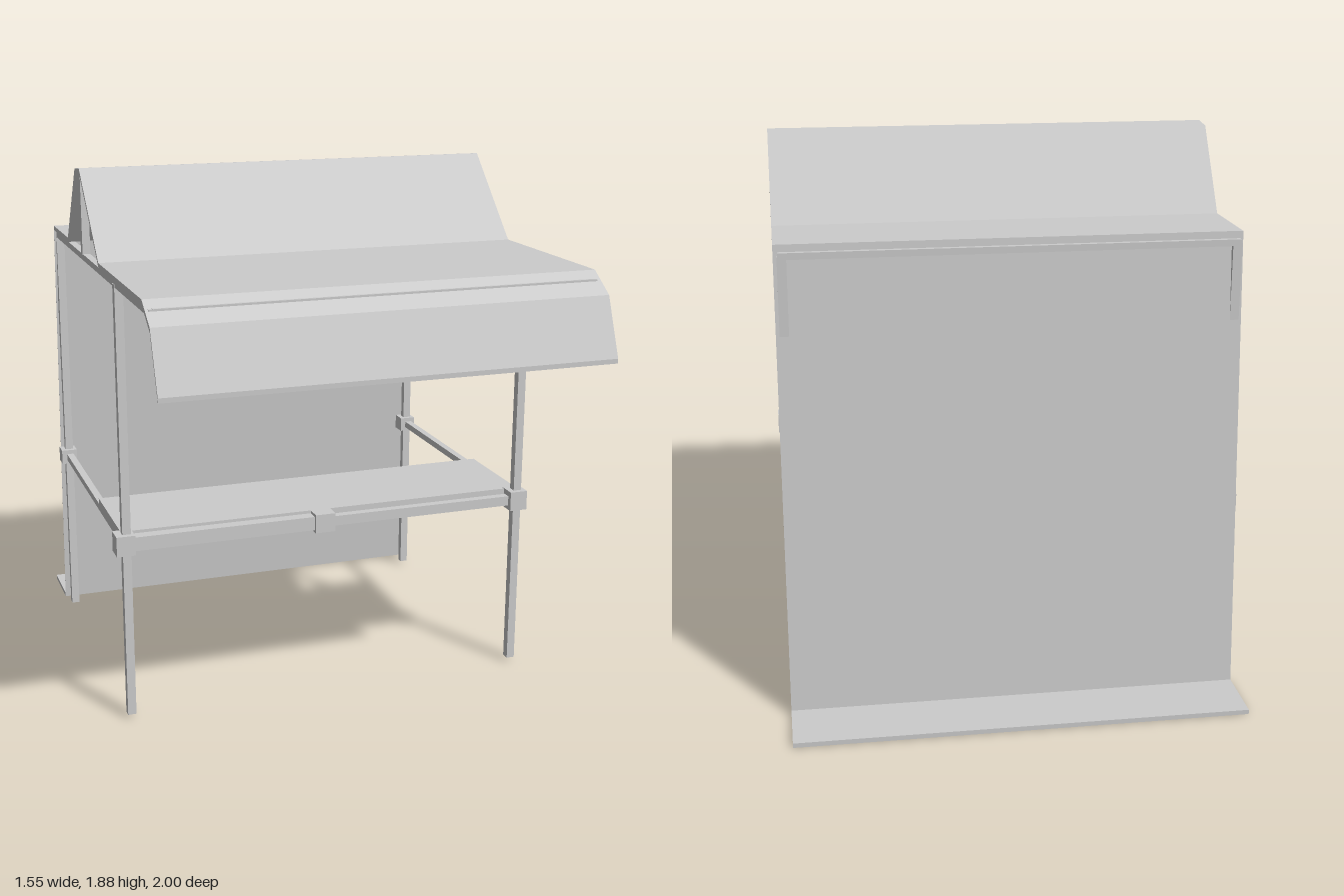
import * as THREE from 'three';

const material = new THREE.MeshStandardMaterial({ color: 0xcccccc, side: THREE.DoubleSide, flatShading: true });

export function createModel() {
  const group = new THREE.Group();
  group.name = 'marketStall';

  // Box given by its lower and upper bounds on each axis
  function box(name, [x0, x1], [y0, y1], [z0, z1]) {
    const mesh = new THREE.Mesh(new THREE.BoxGeometry(x1 - x0, y1 - y0, z1 - z0), material);
    mesh.position.set((x0 + x1) / 2, (y0 + y1) / 2, (z0 + z1) / 2);
    mesh.name = name;
    group.add(mesh);
  }
  const around = (c, size) => [c - size / 2, c + size / 2];

  const left = 0.745, right = -0.735;
  const frontZ = 0.375, backZ = -0.687;

  // Side frames: posts, roof rail, ridge support, shelf rail and joints
  for (const [side, x] of [['left', left], ['right', right]]) {
    box(side + 'FrontPost', around(x, 0.03), [0.015, 1.56], around(frontZ, 0.03));
    box(side + 'BackPost', around(x, 0.03), [0.015, 1.56], around(backZ, 0.026));
    box(side + 'RoofRail', around(x, 0.026), [1.55, 1.572], [-0.7, 0.865]);
    box(side + 'RidgeSupport', around(x, 0.028), [1.57, 1.866], around(-0.16, 0.03));
    box(side + 'ShelfRail', around(x, 0.026), [0.645, 0.67], [backZ, frontZ]);
    box(side + 'FrontJoint', around(x > 0 ? 0.742 : -0.742, 0.066), [0.62, 0.692], around(frontZ, 0.07));
    box(side + 'BackJoint', around(x > 0 ? 0.742 : -0.738, 0.06), [0.63, 0.686], around(backZ, 0.06));
  }

  // Cross bars carrying the canopy
  box('frontRoofBar', [right, left], [1.55, 1.573], [0.842, 0.865]);
  box('backRoofBar', [right, left], [1.55, 1.572], [-0.7, -0.675]);

  // Telescopic front bar with its sleeve joint
  box('frontBarOuter', [right, -0.02], [0.63, 0.68], around(frontZ, 0.042));
  box('frontBarInner', [-0.02, left], [0.636, 0.672], around(frontZ, 0.03));
  box('frontBarJoint', around(-0.018, 0.074), [0.622, 0.69], around(frontZ, 0.066));

  // Counter top over the front part of the shelf rails
  box('counterTop', [-0.748, 0.758], [0.652, 0.69], [-0.02, 0.352]);

  // Canopy cloth: one profile of (z, y) from front flap over the ridge to the ground
  const profile = [
    [1.0, 1.335], [0.92, 1.53], [0.82, 1.596], [0.18, 1.596], [-0.11, 1.882],
    [-0.19, 1.873], [-0.38, 1.596], [-0.68, 1.596], [-0.787, 0.016], [-1.0, 0.016],
  ];
  const drop = 0.016;
  const under = profile.map(([z, y]) => [z, y - drop]).reverse();
  const outline = new THREE.Shape([...profile, ...under].map(([z, y]) => new THREE.Vector2(z, y)));
  const cloth = new THREE.ExtrudeGeometry(outline, { depth: 1.53, bevelEnabled: false });
  cloth.rotateY(-Math.PI / 2).translate(0.772, 0, 0);
  const canopy = new THREE.Mesh(cloth, material);
  canopy.name = 'canopyCloth';
  group.add(canopy);

  return group;
}
